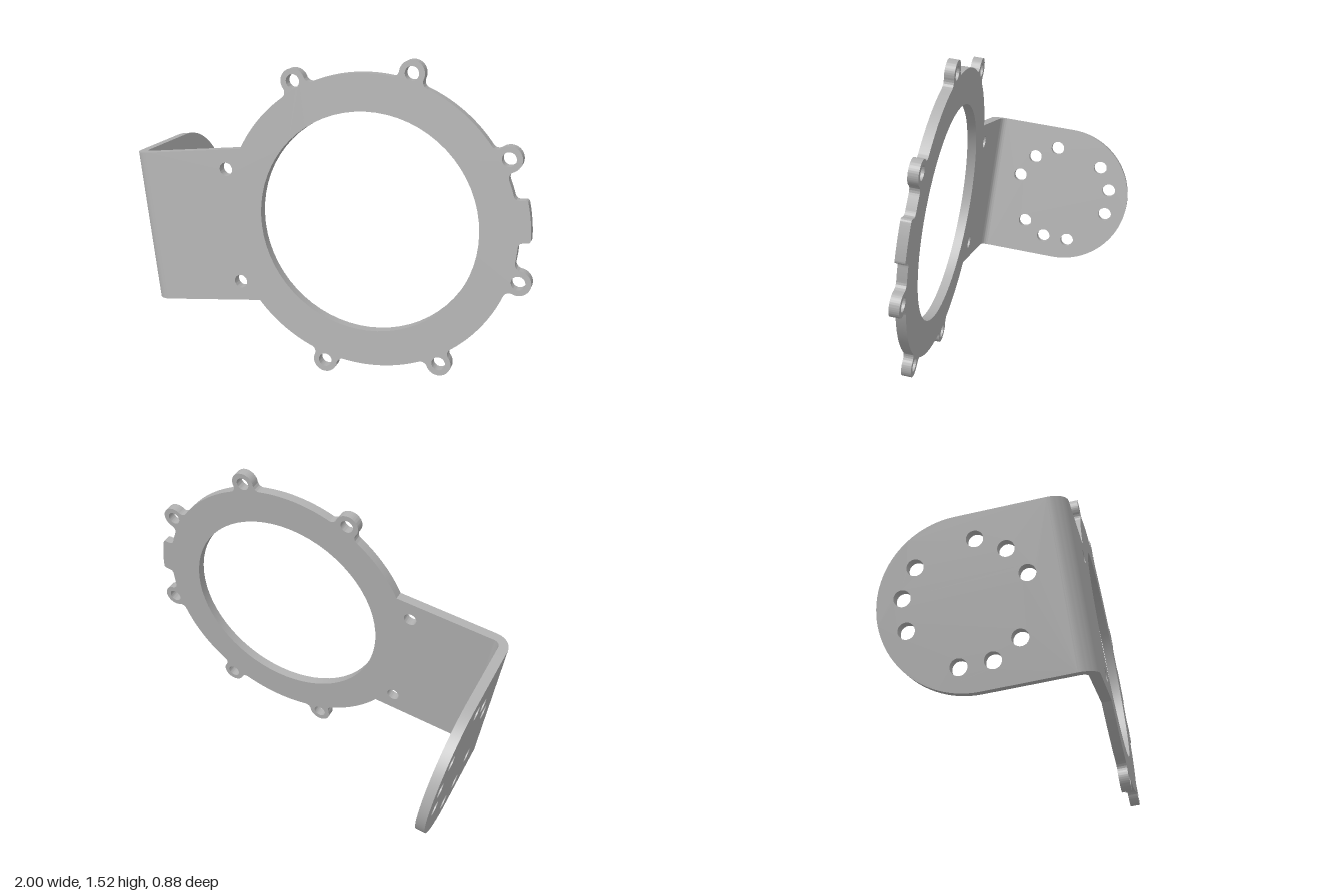
import * as THREE from 'three';
import { toCreasedNormals } from 'three/addons/utils/BufferGeometryUtils.js';

// Sheet metal sizes; local axes: x along the arm, y across it, z out of the front face
const T = 0.046;             // sheet thickness
const RING = 0.69, BORE = 0.519;
const HALF = 0.373;          // half width of arm and flange
const END = -1.155;          // outer face of the flange
const BEND = 0.08;           // outer bend radius
const FLANGE_C = 0.467;      // centre of the flange's round end, measured backwards
const rad = THREE.MathUtils.degToRad;
const polar = (r, a) => new THREE.Vector2(r * Math.cos(a), r * Math.sin(a));
const toward = (a, b) => Math.atan2(b.y - a.y, b.x - a.x);

function addHole(shape, x, y, r) {
  const hole = new THREE.Path();
  hole.absarc(x, y, r, 0, Math.PI * 2, true);
  shape.holes.push(hole);
}

function extrude(shape, depth, curveSegments) {
  return new THREE.ExtrudeGeometry(shape, { depth, bevelEnabled: false, curveSegments });
}

// Ring with bolt ears, a locating lug and the arm, as one flat outline
function plateShape() {
  const s = new THREE.Shape();
  const earR = 0.058, fillet = 0.03, earDist = 0.727;
  const a = RING + fillet, b = earR + fillet;
  const spread = Math.acos((a * a + earDist * earDist - b * b) / (2 * a * earDist));
  const neck = Math.PI - Math.asin(HALF / RING);
  let at = -neck;
  const ringTo = (angle) => { s.absarc(0, 0, RING, at, angle, false); at = angle; };

  const ear = (angle) => {
    const c = polar(earDist, angle);
    const f1 = polar(a, angle - spread), f2 = polar(a, angle + spread);
    ringTo(angle - spread);
    s.absarc(f1.x, f1.y, fillet, angle - spread + Math.PI, toward(f1, c), true);
    s.absarc(c.x, c.y, earR, toward(c, f1), toward(c, f2), false);
    s.absarc(f2.x, f2.y, fillet, toward(f2, c), angle + spread + Math.PI, true);
    at = angle + spread;
  };

  const lug = () => {
    const p = (r, deg) => { const v = polar(r, rad(deg)); return [v.x, v.y]; };
    ringTo(rad(-10));
    s.quadraticCurveTo(...p(RING, -7.8), ...p(0.713, -7.7));
    s.lineTo(...p(0.73, -7.5));
    s.quadraticCurveTo(...p(0.745, -7.4), ...p(0.745, -6.2));
    s.absarc(0, 0, 0.745, rad(-6.2), rad(6.2), false);
    s.quadraticCurveTo(...p(0.745, 7.4), ...p(0.73, 7.5));
    s.lineTo(...p(0.713, 7.7));
    s.quadraticCurveTo(...p(RING, 7.8), ...p(RING, 10));
    at = rad(10);
  };

  s.moveTo(END + BEND, -HALF);
  s.lineTo(RING * Math.cos(neck), -HALF);
  for (const deg of [-112.5, -67.5, -22.5]) ear(rad(deg));
  lug();
  for (const deg of [22.5, 67.5, 112.5]) ear(rad(deg));
  ringTo(neck);
  s.lineTo(END + BEND, HALF);
  s.closePath();

  addHole(s, 0, 0, BORE);
  for (const deg of [-112.5, -67.5, -22.5, 22.5, 67.5, 112.5]) {
    const c = polar(earDist, rad(deg));
    addHole(s, c.x, c.y, 0.032);
  }
  for (const side of [-1, 1]) addHole(s, -0.668, side * 0.278, 0.032);
  return s;
}

// Round-ended flange with three groups of three holes
function flangeShape() {
  const s = new THREE.Shape();
  s.moveTo(BEND, -HALF);
  s.lineTo(FLANGE_C, -HALF);
  s.absarc(FLANGE_C, 0, HALF, -Math.PI / 2, Math.PI / 2, false);
  s.lineTo(BEND, HALF);
  s.closePath();
  for (const middle of [15, 135, 255]) {
    for (const step of [-30, 0, 30]) {
      const c = polar(0.268, rad(middle + step));
      addHole(s, FLANGE_C + c.x, c.y, 0.036);
    }
  }
  return s;
}

// Quarter-round section joining arm and flange
function bendShape() {
  const s = new THREE.Shape();
  const cx = END + BEND;
  s.absarc(cx, BEND, BEND, Math.PI, Math.PI * 1.5, false);
  s.absarc(cx, BEND, BEND - T, Math.PI * 1.5, Math.PI, true);
  s.closePath();
  return s;
}

export function createModel() {
  const model = new THREE.Group();
  model.name = 'ringBracket';
  const metal = new THREE.MeshStandardMaterial({ color: 0xb0b0b0 });
  metal.name = 'grey metal';

  const add = (name, geometry) => {
    const mesh = new THREE.Mesh(toCreasedNormals(geometry, rad(30)), metal);
    mesh.name = name;
    bracket.add(mesh);
  };
  const bracket = new THREE.Group();
  bracket.name = 'bracket';

  add('ringPlate', extrude(plateShape(), T, 32).translate(0, 0, -T));
  add('flange', extrude(flangeShape(), T, 24).rotateY(Math.PI / 2).translate(END, 0, 0));
  add('bend', extrude(bendShape(), HALF * 2, 8).rotateX(-Math.PI / 2).translate(0, -HALF, 0));

  // Lean the whole bracket: the front face follows z = a x + b y, the arm climbs by s
  const a = -0.0641, b = -0.1343, s = 0.158;
  const normal = new THREE.Vector3(-a, -b, 1).normalize();
  const along = new THREE.Vector3(1, s, a + b * s).normalize();
  const across = new THREE.Vector3().crossVectors(normal, along);
  bracket.applyMatrix4(new THREE.Matrix4().makeBasis(along, across, normal));
  bracket.position.set(0.2325, 0.764, 0.3016);

  model.add(bracket);
  return model;
}
